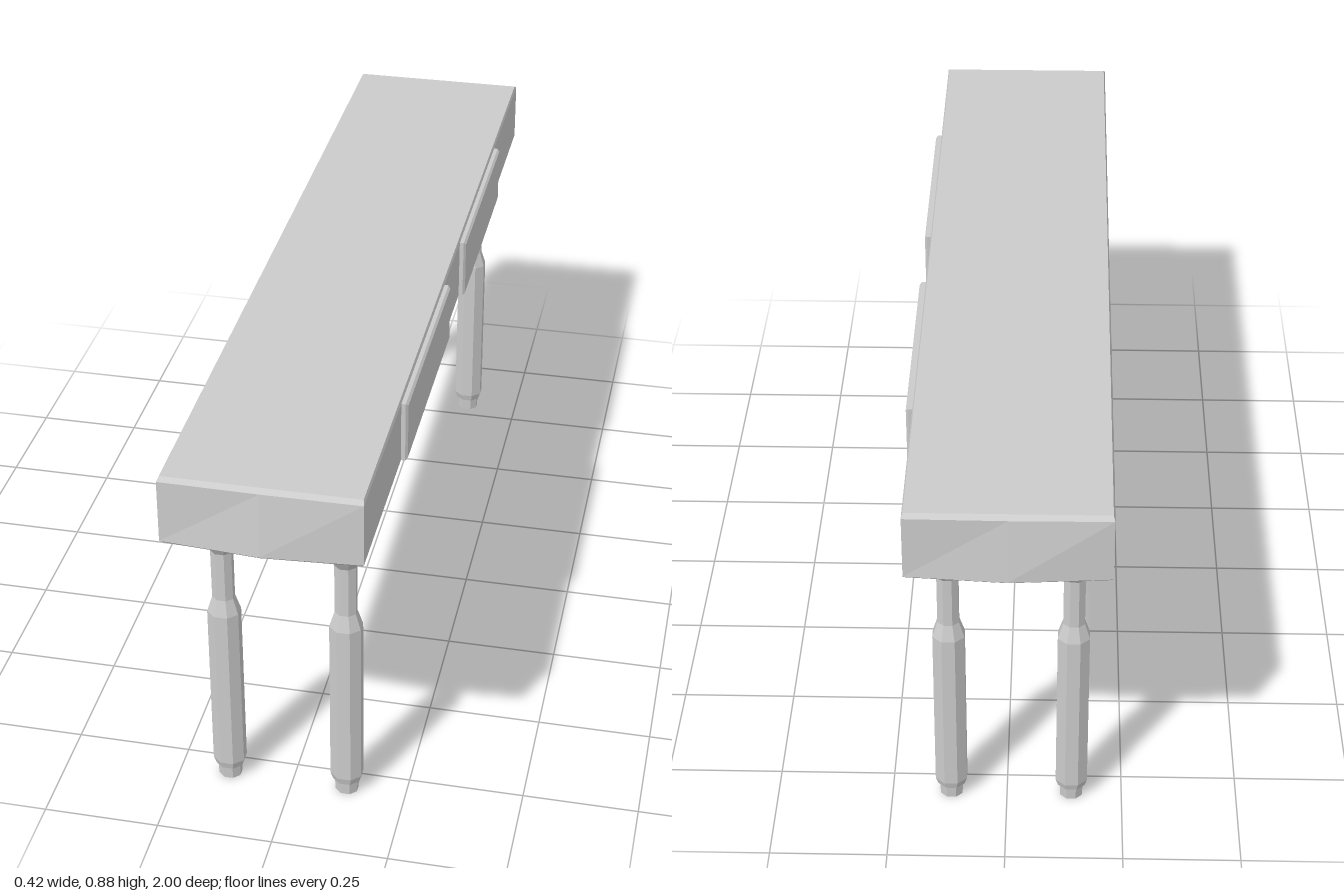
import * as THREE from 'three';

const material = new THREE.MeshStandardMaterial({ color: 0xcccccc, flatShading: true });

function addMesh(parent, name, geometry) {
  const mesh = new THREE.Mesh(geometry, material);
  mesh.name = name;
  parent.add(mesh);
  return mesh;
}

// Joins stacked rings of equal length (bottom to top, counter-clockwise from above) and caps both ends.
function loft(rings) {
  const n = rings[0].length;
  const index = [];
  for (let r = 0; r < rings.length - 1; r++) {
    for (let i = 0; i < n; i++) {
      const a = r * n + i, b = r * n + (i + 1) % n;
      index.push(a, b, b + n, a, b + n, a + n);
    }
  }
  const top = (rings.length - 1) * n;
  for (let i = 1; i < n - 1; i++) {
    index.push(0, i + 1, i, top, top + i, top + i + 1);
  }
  const geometry = new THREE.BufferGeometry();
  geometry.setAttribute('position', new THREE.Float32BufferAttribute(rings.flat(2), 3));
  geometry.setIndex(index);
  const flat = geometry.toNonIndexed();
  flat.computeVertexNormals();
  return flat;
}

// Table body: bevelled slab whose ends come to a shallow point near the bottom.
function bodyGeometry() {
  const cx = -0.008;
  const ring = (y, halfX, cornerZ, midZ) => [
    [cx - halfX, y, cornerZ], [cx, y, midZ], [cx + halfX, y, cornerZ],
    [cx + halfX, y, -cornerZ], [cx, y, -midZ], [cx - halfX, y, -cornerZ],
  ];
  return loft([
    ring(0.733, 0.2, 0.978, 0.992),
    ring(0.74, 0.205, 0.985, 1.0),
    ring(0.878, 0.205, 0.983, 0.985),
    ring(0.885, 0.202, 0.972, 0.972),
  ]);
}

// Drawer front: thin panel with a chamfered outer edge.
function drawerGeometry(width, height) {
  const bevel = 0.005;
  const w = width / 2 - bevel, h = height / 2 - bevel;
  const shape = new THREE.Shape([[-w, -h], [w, -h], [w, h], [-w, h]].map(p => new THREE.Vector2(...p)));
  const geometry = new THREE.ExtrudeGeometry(shape, {
    depth: 0.015, bevelEnabled: true, bevelSize: bevel, bevelThickness: bevel, bevelSegments: 1,
  });
  return geometry.rotateY(Math.PI / 2);
}

// Eight-sided turned leg, slightly narrower along z in the shaft.
function legGeometry() {
  const profile = [
    [0, 0], [0.0235, 0], [0.025, 0.03], [0.029, 0.031], [0.034, 0.048], [0.0335, 0.445],
    [0.0225, 0.482], [0.0225, 0.6], [0.039, 0.635], [0.0435, 0.736], [0, 0.736],
  ];
  const outer = 1 / Math.cos(Math.PI / 8);
  const points = profile.map(([r, y]) => new THREE.Vector2(r * outer, y));
  const geometry = new THREE.LatheGeometry(points, 8, Math.PI / 8);
  const pos = geometry.attributes.position;
  for (let i = 0; i < pos.count; i++) {
    pos.setZ(i, pos.getZ(i) * (pos.getY(i) > 0.62 ? 1.04 : 0.9));
  }
  geometry.computeVertexNormals();
  return geometry;
}

export function createModel() {
  const model = new THREE.Group();
  model.name = 'consoleTable';

  addMesh(model, 'tableBody', bodyGeometry());

  // Two drawer fronts on the long side
  const drawer = drawerGeometry(0.508, 0.137);
  for (const side of [1, -1]) {
    addMesh(model, side > 0 ? 'frontDrawer' : 'backDrawer', drawer)
      .position.set(0.191, 0.809, side * 0.355);
  }

  // Four legs
  const leg = legGeometry();
  for (const z of [0.8, -0.8]) {
    for (const x of [0.121, -0.14]) {
      const name = (z > 0 ? 'front' : 'back') + (x > 0 ? 'Left' : 'Right') + 'Leg';
      addMesh(model, name, leg).position.set(x, 0, z);
    }
  }
  return model;
}
